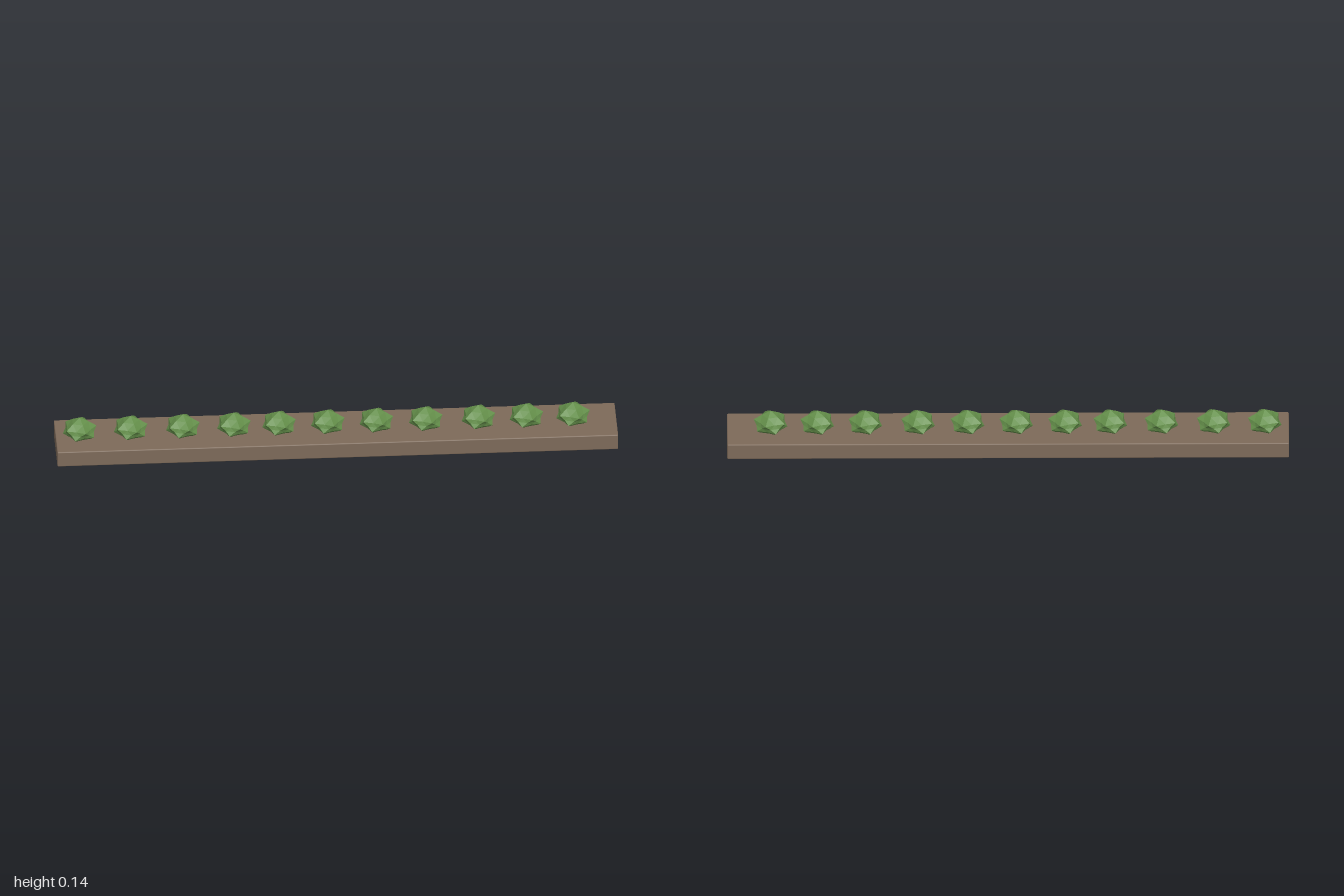
import * as THREE from 'three';
import { RoundedBoxGeometry } from 'three/addons/geometries/RoundedBoxGeometry.js';

const soilMat = new THREE.MeshStandardMaterial({ color: 0x7d6a59 });
soilMat.name = 'soil brown';
const leafMat = new THREE.MeshStandardMaterial({ color: 0x648f4a });
leafMat.name = 'leaf green';
leafMat.flatShading = true;

// Squat lumpy ball: two staggered rings of five lobes between two tips,
// each face split in four with the creases between lobes pulled inward.
function bushGeometry(radius, ringY, tipY) {
  const ring = (y, turn) => Array.from({ length: 5 }, (_, i) => {
    const a = (i + turn) * Math.PI * 2 / 5;
    return new THREE.Vector3(Math.cos(a) * radius, y, Math.sin(a) * radius);
  });
  const top = new THREE.Vector3(0, tipY, 0), bottom = new THREE.Vector3(0, -tipY, 0);
  const upper = ring(ringY, 0), lower = ring(-ringY, 0.5);
  const points = [];
  const middle = (a, b) => {
    const m = a.clone().add(b).multiplyScalar(0.5);
    const touchesTip = [a, b].some((p) => p === top || p === bottom);
    return m.multiplyScalar(touchesTip ? 1.04 : 0.92);
  };
  const face = (a, b, c) => {
    const ab = middle(a, b), bc = middle(b, c), ca = middle(c, a);
    points.push(a, ab, ca, ab, b, bc, ca, bc, c, ab, bc, ca);
  };
  for (let i = 0; i < 5; i++) {
    const j = (i + 1) % 5;
    face(top, upper[j], upper[i]);
    face(upper[i], upper[j], lower[i]);
    face(lower[i], upper[j], lower[j]);
    face(bottom, lower[i], lower[j]);
  }
  const geo = new THREE.BufferGeometry().setFromPoints(points);
  geo.computeVertexNormals();
  return geo;
}

export function createModel() {
  const model = new THREE.Group();
  model.name = 'plantedBed';

  // Soil bed with slightly softened edges
  const bed = new THREE.Mesh(new RoundedBoxGeometry(2, 0.06, 0.222, 2, 0.004), soilMat);
  bed.name = 'soilBed';
  bed.position.y = 0.03;
  model.add(bed);

  // Row of plants, unevenly spaced and half sunk in the soil
  const plantGeo = bushGeometry(0.06, 0.0145, 0.05);
  const row = new THREE.Group();
  row.name = 'plantRow';
  [-0.914, -0.732, -0.546, -0.364, -0.203, -0.029, 0.144, 0.32, 0.508, 0.679, 0.845].forEach((x, i) => {
    const plant = new THREE.Mesh(plantGeo, leafMat);
    plant.name = 'plant' + (i + 1);
    plant.position.set(x, 0.0855, 0);
    row.add(plant);
  });
  model.add(row);
  return model;
}
